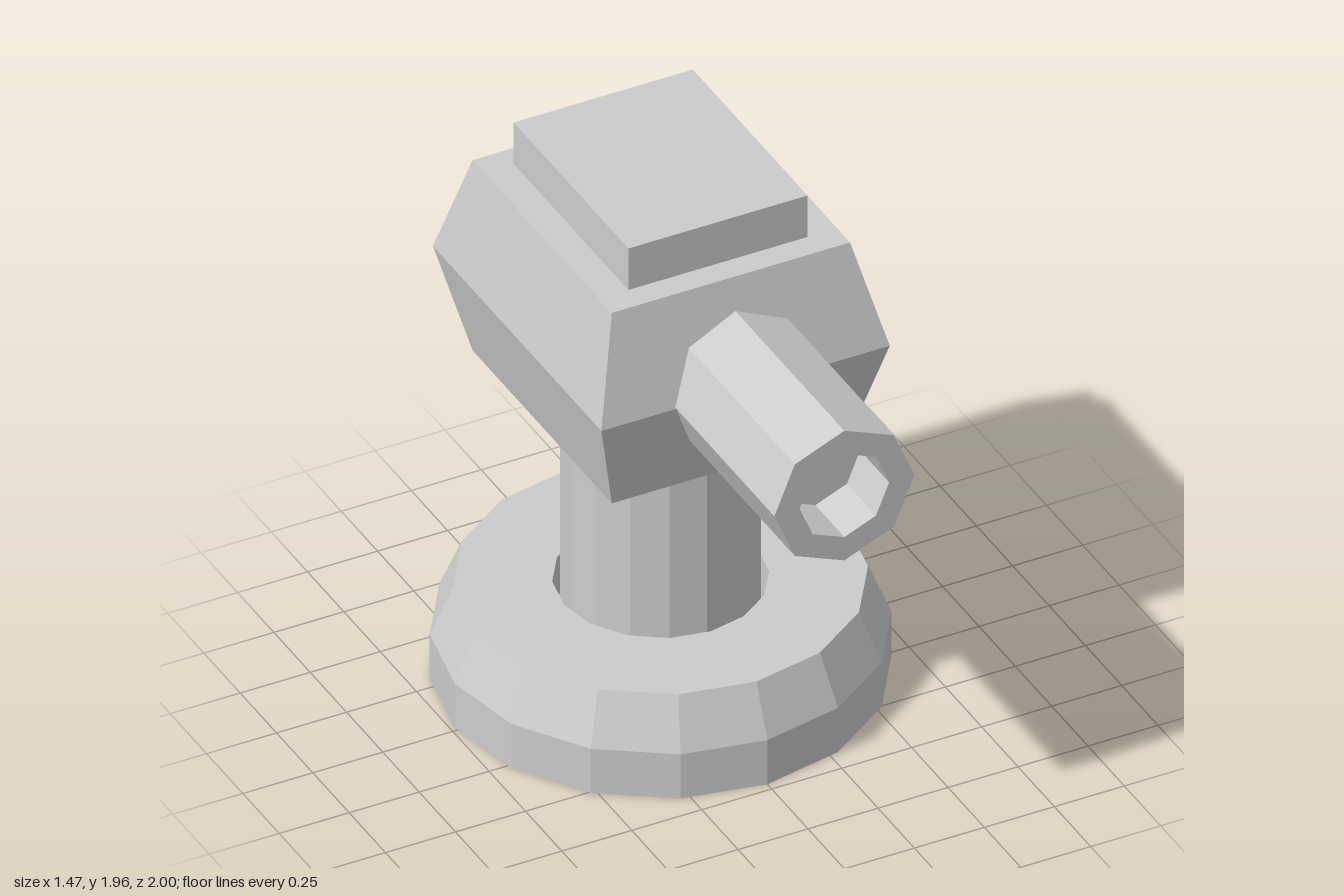
import * as THREE from 'three';

const CENTRE_Z = -0.265;

export function createModel() {
  const model = new THREE.Group();
  model.name = 'turret';

  const grey = new THREE.MeshStandardMaterial({ color: 0xcccccc });
  grey.name = 'light grey';
  grey.flatShading = true;

  // Faceted solid turned from a [radius, height] profile
  const turned = (profile, sides) =>
    new THREE.LatheGeometry(profile.map(([r, y]) => new THREE.Vector2(r, y)), sides);

  const add = (name, geometry, y, z) => {
    const faceted = geometry.toNonIndexed();
    faceted.computeVertexNormals();
    const mesh = new THREE.Mesh(faceted, grey);
    mesh.name = name;
    mesh.position.set(0, y, z);
    model.add(mesh);
  };

  // Bevelled foot with a narrow socket around the column
  add('base', turned([
    [0, 0], [0.735, 0], [0.735, 0.17], [0.66, 0.35],
    [0.345, 0.35], [0.345, 0.2], [0, 0.2],
  ], 16), 0, CENTRE_Z);

  // Column from the socket up into the head
  add('column', new THREE.CylinderGeometry(0.32, 0.32, 0.95, 16), 0.675, CENTRE_Z);

  // Four-sided head, widest at its middle
  const corner = Math.SQRT2;
  const head = turned([
    [0, 1.065], [0.826 * corner, 1.065], [corner, 1.435],
    [0.826 * corner, 1.8], [0, 1.8],
  ], 4);
  head.rotateY(Math.PI / 4).scale(0.515, 1, 0.58);
  add('head', head, 0, -0.26);

  // Raised plate on the head
  add('topPlate', new THREE.BoxGeometry(0.64, 0.16, 0.79), 1.88, CENTRE_Z);

  // Octagonal barrel with a blind bore in its muzzle
  const barrel = turned([
    [0, 0], [0.25, 0], [0.25, 1], [0.16, 1], [0.16, 0.8], [0, 0.8],
  ], 8);
  barrel.rotateX(Math.PI / 2);
  add('barrel', barrel, 1.44, 0);

  return model;
}
